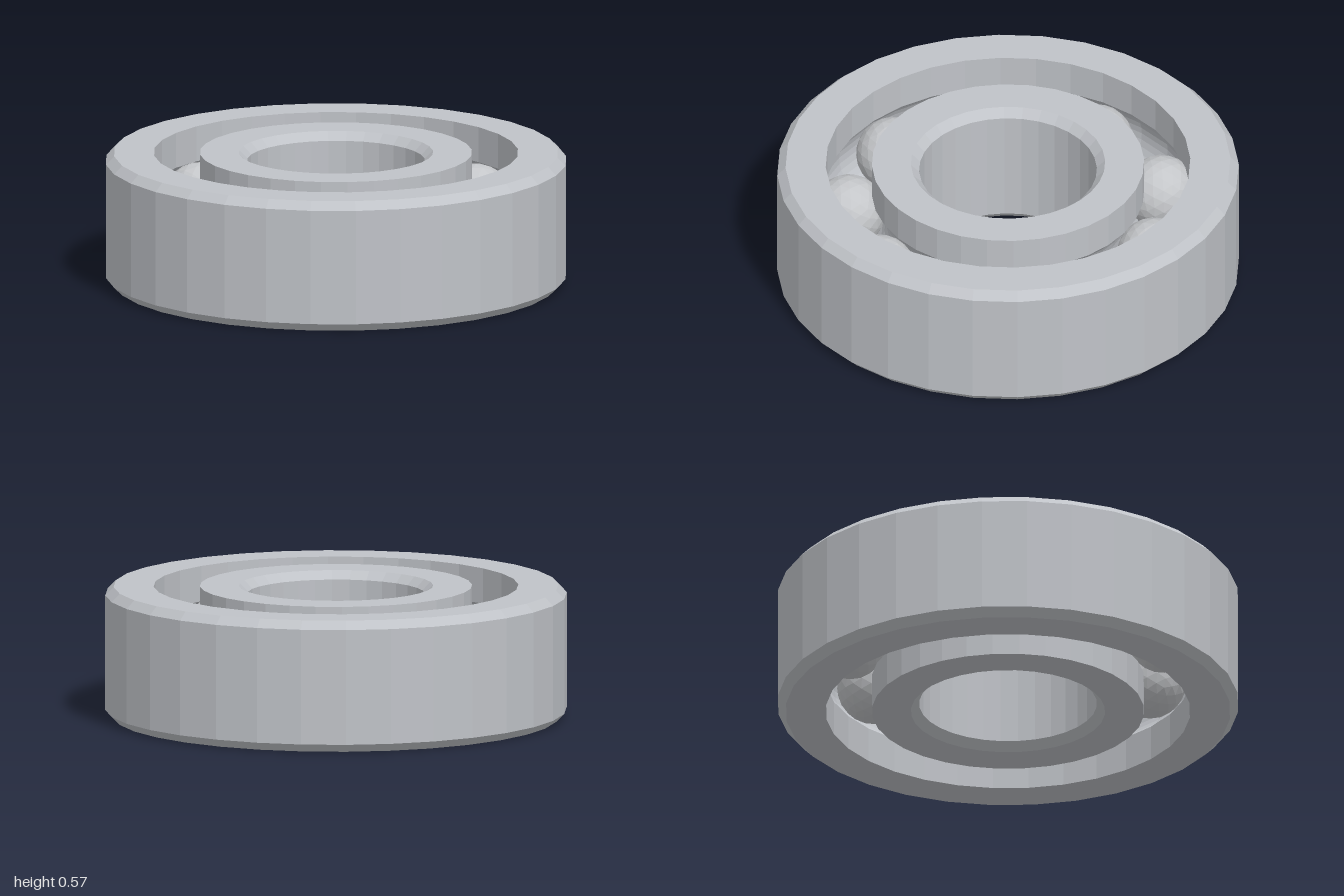
import * as THREE from 'three';

const H = 0.575, MID = H / 2, CH = 0.036;
const PITCH = 0.69, BALL_R = 0.16, GROOVE_R = 0.166;
const SIDES = 32, BALLS = 9;

// Arc of the raceway groove where it meets a land of the given radius.
// dir +1 cuts outward into the outer ring, -1 inward into the inner ring.
function groove(landR, dir, upward) {
  const a = Math.acos(Math.abs(landR - PITCH) / GROOVE_R);
  const pts = [];
  for (let i = 0; i <= 10; i++) {
    const t = (upward ? 1 : -1) * (-a + (2 * a * i) / 10);
    pts.push([PITCH + dir * GROOVE_R * Math.cos(t), MID + GROOVE_R * Math.sin(t)]);
  }
  return pts;
}

function ring(name, profile, material) {
  const pts = [...profile, profile[0]].map(([r, y]) => new THREE.Vector2(r, y));
  const mesh = new THREE.Mesh(new THREE.LatheGeometry(pts, SIDES), material);
  mesh.name = name;
  return mesh;
}

export function createModel() {
  const model = new THREE.Group();
  model.name = 'ballBearing';

  const steel = new THREE.MeshStandardMaterial({ color: 0xc0c3c8 });
  steel.name = 'ring steel';
  steel.flatShading = true;
  const polished = new THREE.MeshStandardMaterial({ color: 0xc4c6c9 });
  polished.name = 'ball steel';
  polished.flatShading = true;

  // Outer ring: chamfered outside, grooved inside
  model.add(ring('outerRing', [
    [0.79, 0], [1 - CH, 0], [1, CH], [1, H - CH], [1 - CH, H], [0.79, H],
    ...groove(0.79, 1, false),
  ], steel));

  // Inner ring: grooved outside, chamfered bore
  model.add(ring('innerRing', [
    [0.385 + CH, 0], [0.59, 0],
    ...groove(0.59, -1, true),
    [0.59, H], [0.385 + CH, H], [0.385, H - CH], [0.385, CH],
  ], steel));

  // Balls evenly spaced around the raceway
  const balls = new THREE.Group();
  balls.name = 'balls';
  const ballGeometry = new THREE.IcosahedronGeometry(BALL_R, 3);
  for (let i = 0; i < BALLS; i++) {
    const a = (i / BALLS) * Math.PI * 2;
    const ball = new THREE.Mesh(ballGeometry, polished);
    ball.name = 'ball' + (i + 1);
    ball.position.set(PITCH * Math.cos(a), MID, PITCH * Math.sin(a));
    balls.add(ball);
  }
  model.add(balls);

  return model;
}
